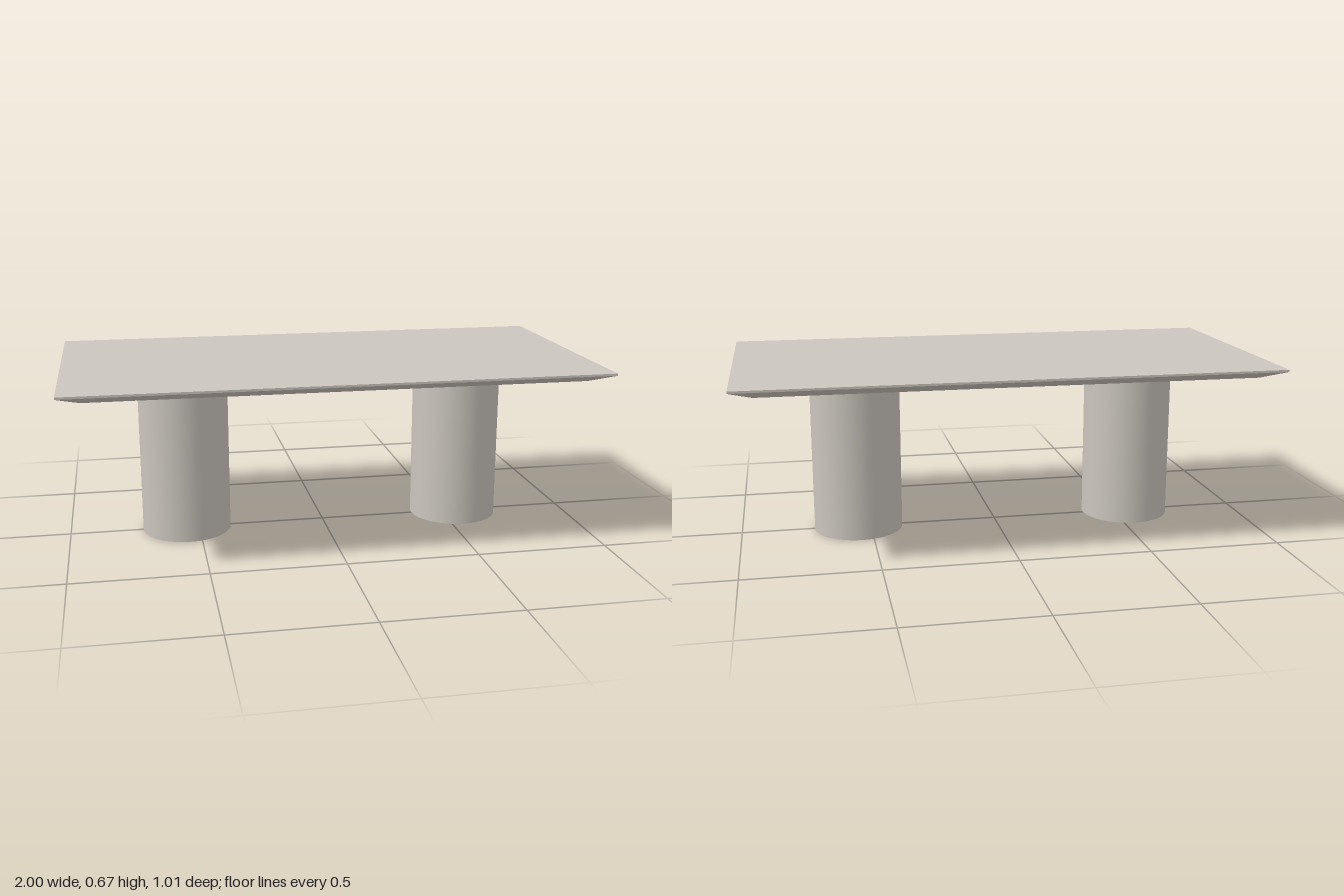
import * as THREE from 'three';

const LEG_HEIGHT = 0.628, EDGE_Y = 0.662, TOP_Y = 0.67;
const HALF_X = 1, HALF_Z = 0.507, BEVEL = 0.08;

// Rectangular slab with a thin upright rim and a bevelled underside
function tabletopGeometry() {
  const box = new THREE.BoxGeometry(2 * HALF_X, 2, 2 * HALF_Z, 1, 2, 1);
  const p = box.attributes.position;
  for (let i = 0; i < p.count; i++) {
    const level = Math.round(p.getY(i)); // -1 underside, 0 rim bottom, 1 top
    const inset = level < 0 ? BEVEL : 0;
    p.setXYZ(
      i,
      Math.sign(p.getX(i)) * (HALF_X - inset),
      [LEG_HEIGHT, EDGE_Y, TOP_Y][level + 1],
      Math.sign(p.getZ(i)) * (HALF_Z - inset)
    );
  }
  const flat = box.toNonIndexed();
  flat.computeVertexNormals();
  return flat;
}

export function createModel() {
  const table = new THREE.Group();
  table.name = 'table';
  const stone = new THREE.MeshStandardMaterial({ color: 0xcbc6be });
  stone.name = 'warm grey stone';

  const tabletop = new THREE.Mesh(tabletopGeometry(), stone);
  tabletop.name = 'tabletop';
  table.add(tabletop);

  // Two round pedestal legs
  const legGeometry = new THREE.CylinderGeometry(0.172, 0.172, LEG_HEIGHT, 64);
  for (const side of [1, -1]) {
    const leg = new THREE.Mesh(legGeometry, stone);
    leg.name = side > 0 ? 'leftLeg' : 'rightLeg';
    leg.position.set(side * 0.547, LEG_HEIGHT / 2, 0);
    table.add(leg);
  }
  return table;
}
